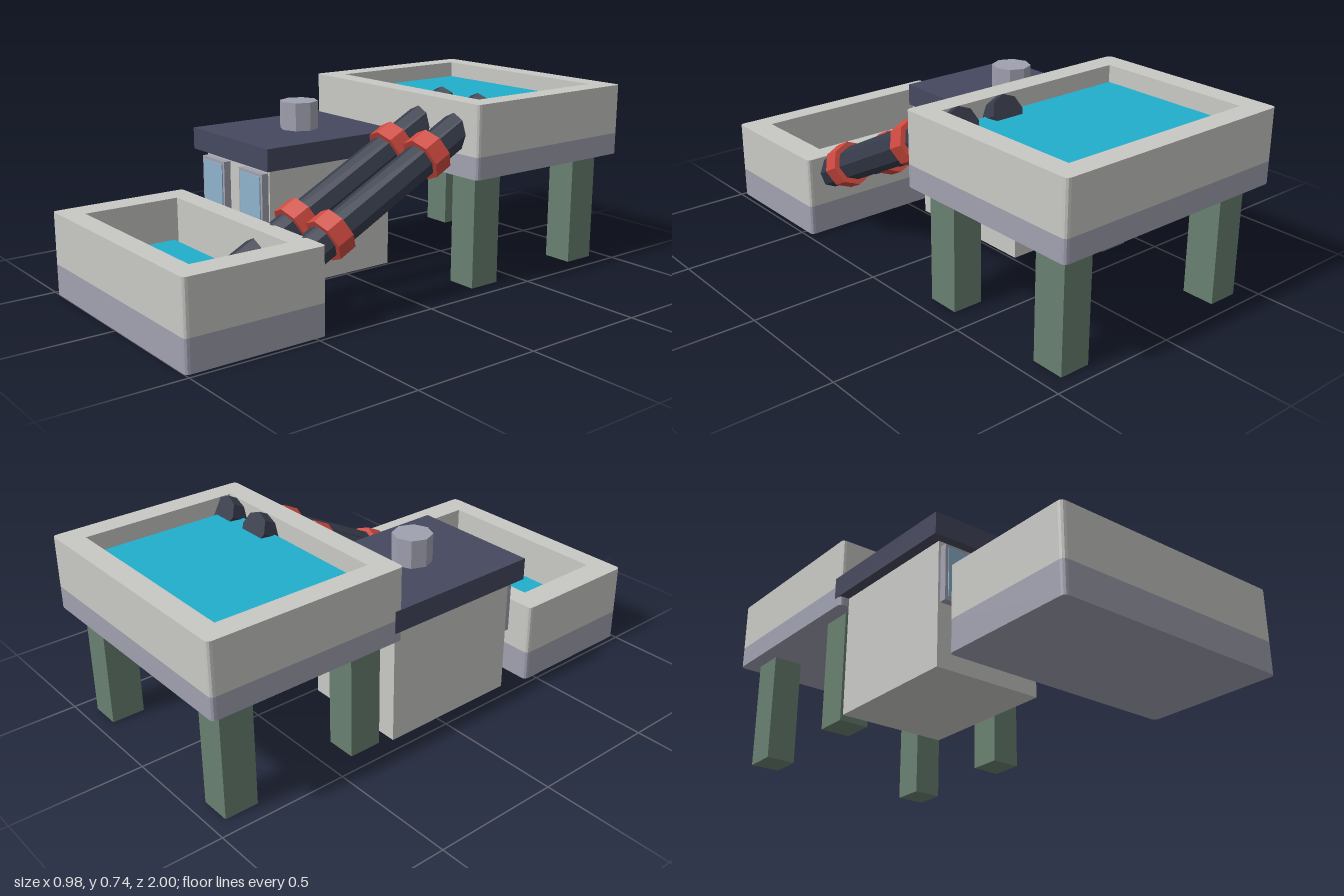
import * as THREE from 'three';

const mat = (name, color) => {
  const m = new THREE.MeshStandardMaterial({ color, flatShading: true });
  m.name = name;
  return m;
};

export function createModel() {
  const concrete = mat('concrete', 0xc8c8c5);
  const trim = mat('lilac grey', 0xa0a1b0);
  const navy = mat('navy roof', 0x46485e);
  const pipeDark = mat('dark pipe', 0x373c4b);
  const red = mat('red collar', 0xcf4a40);
  const waterBlue = mat('water', 0x20aecb);
  const green = mat('green leg', 0x688070);
  const glass = mat('glass', 0x8fb3cc);

  const model = new THREE.Group();
  const add = (parent, name, geometry, material, x = 0, y = 0, z = 0) => {
    const mesh = new THREE.Mesh(geometry, material);
    mesh.name = name;
    mesh.position.set(x, y, z);
    parent.add(mesh);
    return mesh;
  };
  // Box given by its min and max on each axis
  const box = (parent, name, material, [x0, x1], [y0, y1], [z0, z1]) =>
    add(parent, name, new THREE.BoxGeometry(x1 - x0, y1 - y0, z1 - z0), material,
      (x0 + x1) / 2, (y0 + y1) / 2, (z0 + z1) / 2);

  // Upright slab with slightly rounded corners and an optional opening
  const slab = (w, d, h, hole) => {
    const r = 0.018, a = w / 2, b = d / 2;
    const s = new THREE.Shape();
    s.moveTo(-a + r, -b);
    s.lineTo(a - r, -b).quadraticCurveTo(a, -b, a, -b + r);
    s.lineTo(a, b - r).quadraticCurveTo(a, b, a - r, b);
    s.lineTo(-a + r, b).quadraticCurveTo(-a, b, -a, b - r);
    s.lineTo(-a, -b + r).quadraticCurveTo(-a, -b, -a + r, -b);
    if (hole) {
      const [p, q] = [hole[0] / 2, hole[1] / 2];
      const path = new THREE.Path();
      path.moveTo(-p, -q).lineTo(-p, q).lineTo(p, q).lineTo(p, -q).closePath();
      s.holes.push(path);
    }
    return new THREE.ExtrudeGeometry(s, { depth: h, bevelEnabled: false, curveSegments: 3 })
      .rotateX(-Math.PI / 2);
  };

  // Basin: solid lower band, open wall ring, water block inside
  const basin = (name, o) => {
    const g = new THREE.Group();
    g.name = name;
    g.position.z = o.z;
    add(g, 'basinBase', slab(o.w, o.d, o.band - o.y0), trim, 0, o.y0);
    add(g, 'basinWalls', slab(o.w, o.d, o.y1 - o.band, o.hole), concrete, 0, o.band);
    const [ww, wd] = o.water;
    box(g, 'water', waterBlue, [-ww / 2, ww / 2], [o.band, o.level], [-wd / 2, wd / 2]);
    model.add(g);
  };
  basin('lowerBasin', { w: 0.96, d: 0.545, z: 0.7275, y0: 0, band: 0.12, y1: 0.32,
    hole: [0.75, 0.38], water: [0.746, 0.342], level: 0.155 });
  basin('upperBasin', { w: 0.98, d: 0.78, z: -0.61, y0: 0.44, band: 0.525, y1: 0.72,
    hole: [0.805, 0.61], water: [0.775, 0.58], level: 0.66 });

  // Legs under the upper basin
  for (const x of [-0.37, 0.37])
    for (const z of [-0.335, -0.875])
      box(model, 'leg', green, [x - 0.06, x + 0.06], [0, 0.44], [z - 0.065, z + 0.065]);

  // Pump house with roof, chimney and two front windows
  const house = new THREE.Group();
  house.name = 'pumpHouse';
  model.add(house);
  box(house, 'houseWalls', concrete, [-0.45, -0.012], [0, 0.475], [-0.22, 0.35]);
  box(house, 'roof', navy, [-0.492, 0.032], [0.475, 0.56], [-0.255, 0.387]);
  add(house, 'chimney', new THREE.CylinderGeometry(0.076, 0.076, 0.11, 8), trim, -0.23, 0.615, 0.06);
  for (const x of [-0.362, -0.099]) {
    box(house, 'windowFrame', trim, [x - 0.079, x + 0.079], [0.24, 0.455], [0.35, 0.378]);
    box(house, 'windowPane', glass, [x - 0.067, x + 0.067], [0.252, 0.443], [0.377, 0.382]);
  }

  // Sloping pipes, each with two collars
  const low = new THREE.Vector3(0, 0.163, 0.63);
  const high = new THREE.Vector3(0, 0.677, -0.37);
  const dir = high.clone().sub(low);
  const length = dir.length();
  for (const x of [0.162, 0.36]) {
    const g = new THREE.Group();
    g.name = 'pipeline';
    g.position.copy(low).add(high).multiplyScalar(0.5).setX(x);
    g.rotation.x = Math.atan2(dir.z, dir.y);
    add(g, 'pipe', new THREE.CylinderGeometry(0.066, 0.066, length, 8), pipeDark);
    for (const z of [0.347, -0.091])
      add(g, 'collar', new THREE.CylinderGeometry(0.087, 0.087, 0.072, 8), red,
        0, ((z - 0.13) / dir.z) * length);
    model.add(g);
  }
  return model;
}
